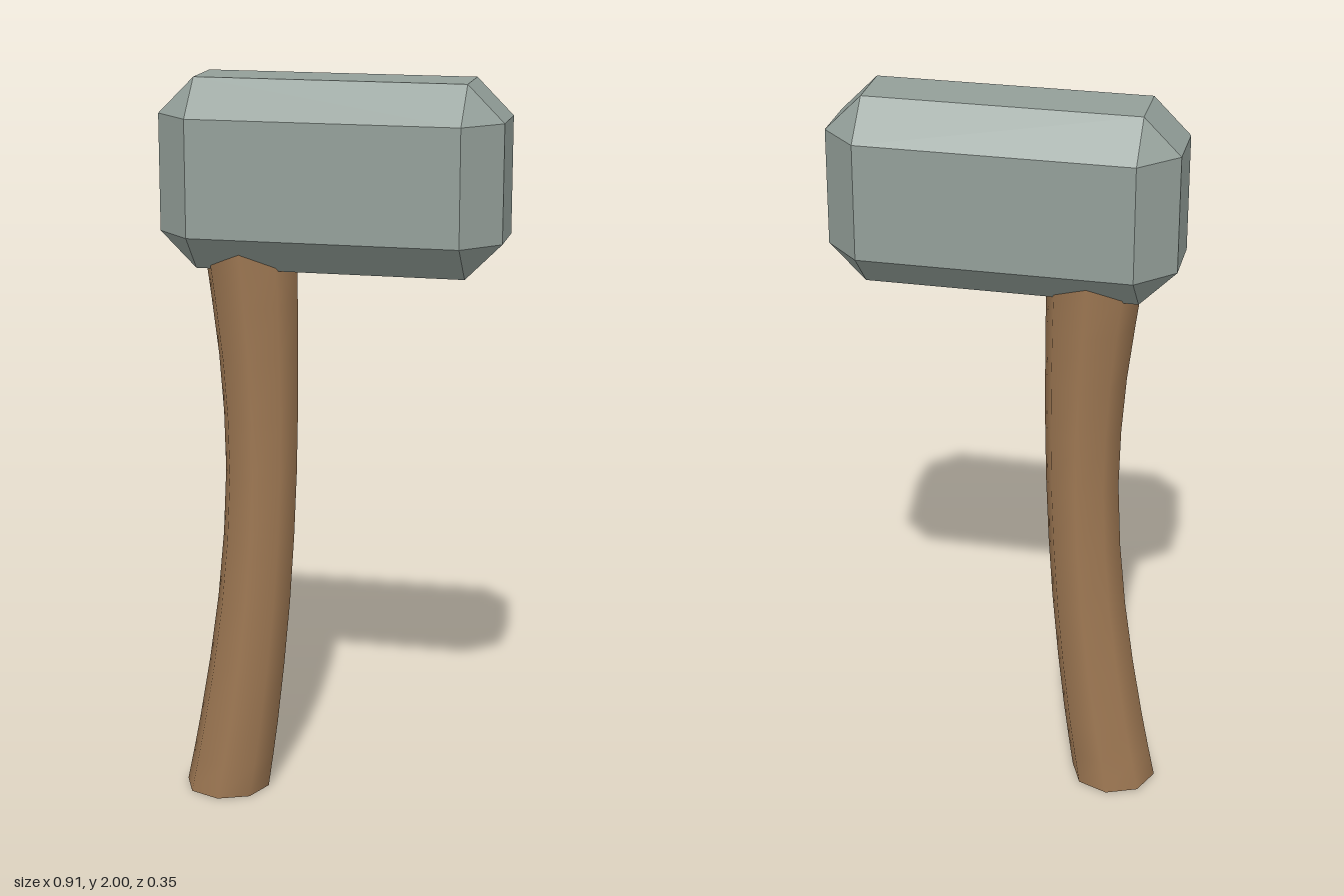
import * as THREE from 'three';
import { ConvexGeometry } from 'three/addons/geometries/ConvexGeometry.js';
import { mergeVertices } from 'three/addons/utils/BufferGeometryUtils.js';

const SIDES = 8;

// Box with every edge cut at 45 degrees and triangular corners
function chamferedBox(w, h, d, cut) {
  const points = [];
  for (const sx of [-1, 1]) for (const sy of [-1, 1]) for (const sz of [-1, 1]) {
    for (let axis = 0; axis < 3; axis++) {
      const p = [w / 2, h / 2, d / 2].map((v, i) => (i === axis ? v : v - cut));
      points.push(new THREE.Vector3(p[0] * sx, p[1] * sy, p[2] * sz));
    }
  }
  return new ConvexGeometry(points);
}

// Octagonal shaft: each section gives centre x, height y and radius (as z)
function shaft(sections, rows) {
  const rings = new THREE.CatmullRomCurve3(sections.map((s) => new THREE.Vector3(...s))).getPoints(rows);
  let geometry = new THREE.CylinderGeometry(1, 1, 1, SIDES, rows, true);
  const pos = geometry.attributes.position;
  for (let i = 0; i < pos.count; i++) {
    const ring = rings[rows - Math.floor(i / (SIDES + 1))];
    pos.setXYZ(i, ring.x + pos.getX(i) * ring.z, ring.y, pos.getZ(i) * ring.z);
  }
  geometry.deleteAttribute('normal');
  geometry.deleteAttribute('uv');
  geometry = mergeVertices(geometry);
  geometry.computeVertexNormals();
  return geometry;
}

export function createModel() {
  const stone = new THREE.MeshStandardMaterial({ color: 0x939f99 });
  stone.name = 'greyStone';
  const wood = new THREE.MeshStandardMaterial({ color: 0x9e7853 });
  wood.name = 'brownWood';

  const model = new THREE.Group();
  model.name = 'hammer';
  const add = (name, geometry, material, parent = model) => {
    const mesh = new THREE.Mesh(geometry, material);
    mesh.name = name;
    parent.add(mesh);
    return mesh;
  };

  // Hammer head
  add('head', chamferedBox(0.906, 0.5, 0.348, 0.096), stone).position.y = 1.75;

  // Curved handle, flared at both ends and sunk into the head
  const handle = new THREE.Group();
  handle.name = 'handle';
  model.add(handle);
  const sections = [
    [-0.311, 0, 0.118],
    [-0.277, 0.2, 0.112],
    [-0.23, 0.56, 0.102],
    [-0.206, 0.93, 0.099],
    [-0.211, 1.25, 0.109],
    [-0.229, 1.53, 0.126],
    [-0.232, 1.6, 0.128],
  ];
  add('handleShaft', shaft(sections, 12), wood, handle);

  // Flat ends
  const [bottom, top] = [sections[0], sections[sections.length - 1]];
  add('handleBottom', new THREE.CircleGeometry(bottom[2], SIDES).rotateX(Math.PI / 2), wood, handle)
    .position.set(bottom[0], bottom[1], 0);
  add('handleTop', new THREE.CircleGeometry(top[2], SIDES).rotateX(-Math.PI / 2), wood, handle)
    .position.set(top[0], top[1], 0);

  return model;
}
